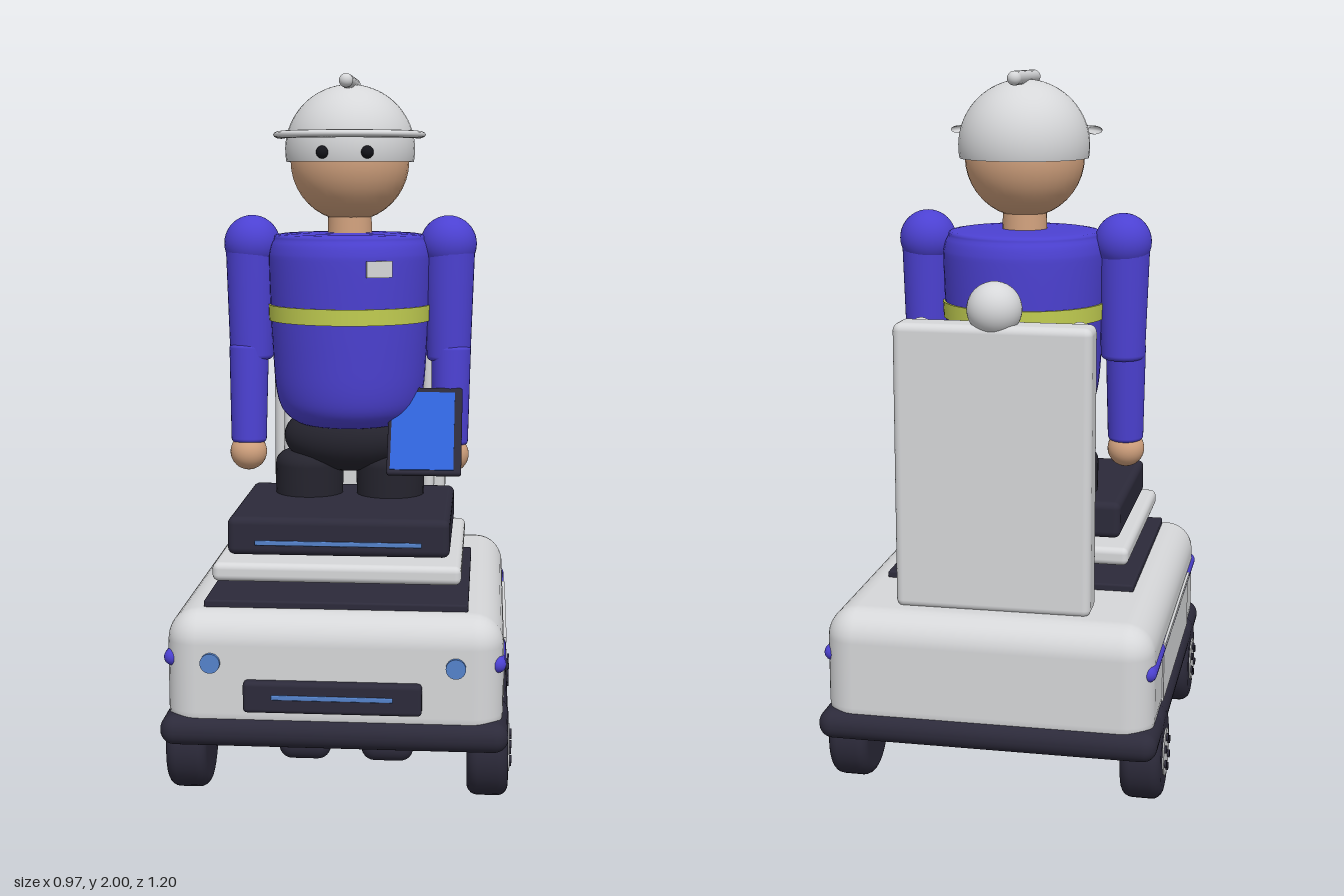
import * as THREE from 'three';
import { RoundedBoxGeometry } from 'three/addons/geometries/RoundedBoxGeometry.js';

const paint = (name, color, side = THREE.FrontSide) => {
  const m = new THREE.MeshStandardMaterial({ color, side });
  m.name = name;
  return m;
};

export function createModel() {
  const white = paint('light grey', 0xd6d7d9, THREE.DoubleSide);
  const dark = paint('dark slate', 0x2c2a3a);
  const violet = paint('violet blue', 0x4c41d2);
  const skin = paint('skin', 0xd2a27e);
  const lime = paint('lime yellow', 0xc4d052);
  const screenBlue = paint('screen blue', 0x2f62d8);
  const lampBlue = paint('lamp blue', 0x5583cc);
  const trousers = paint('trousers', 0x25242e);
  const black = paint('black', 0x14141a);

  const root = new THREE.Group();
  root.name = 'workerOnCart';

  const add = (parent, name, geo, mat, x = 0, y = 0, z = 0) => {
    const m = new THREE.Mesh(geo, mat);
    m.name = name;
    m.position.set(x, y, z);
    parent.add(m);
    return m;
  };
  const group = (name) => {
    const g = new THREE.Group();
    g.name = name;
    root.add(g);
    return g;
  };
  // Rounded box given by its limits on each axis
  const slab = (parent, name, mat, [x0, x1], [y0, y1], [z0, z1], r) =>
    add(parent, name, new RoundedBoxGeometry(x1 - x0, y1 - y0, z1 - z0, 4, r), mat,
      (x0 + x1) / 2, (y0 + y1) / 2, (z0 + z1) / 2);
  // Cylinder with rounded rims, centred on its axis
  const roundedCylinder = (rBottom, rTop, h, bevel) => {
    const pts = [new THREE.Vector2(0, -h / 2)];
    for (let i = 0; i <= 5; i++) {
      const a = (i / 5) * Math.PI / 2;
      pts.push(new THREE.Vector2(rBottom - bevel + bevel * Math.sin(a), -h / 2 + bevel - bevel * Math.cos(a)));
    }
    for (let i = 0; i <= 5; i++) {
      const a = (i / 5) * Math.PI / 2;
      pts.push(new THREE.Vector2(rTop - bevel + bevel * Math.cos(a), h / 2 - bevel + bevel * Math.sin(a)));
    }
    pts.push(new THREE.Vector2(0, h / 2));
    return new THREE.LatheGeometry(pts, 32);
  };
  const ball = (r) => new THREE.SphereGeometry(r, 32, 20);

  // Cart body
  const cart = group('cart');
  slab(cart, 'bumper', dark, [-0.472, 0.472], [0.185, 0.268], [-0.6, 0.592], 0.04);
  slab(cart, 'cartBody', white, [-0.457, 0.457], [0.195, 0.552], [-0.58, 0.572], 0.085);
  slab(cart, 'frontPanel', dark, [-0.24, 0.24], [0.29, 0.376], [0.55, 0.598], 0.012);
  slab(cart, 'frontPanelLight', lampBlue, [-0.163, 0.163], [0.329, 0.342], [0.594, 0.602], 0.003);
  for (const s of [-1, 1]) {
    const lamp = add(cart, 'frontLamp', new THREE.CylinderGeometry(0.027, 0.027, 0.02, 24), lampBlue, s * 0.33, 0.42, 0.573);
    lamp.rotation.x = Math.PI / 2;
    const rail = add(cart, 'sideRail', new THREE.CapsuleGeometry(0.023, 1.05, 8, 20), violet, s * 0.441, 0.421, 0);
    rail.rotation.x = Math.PI / 2;
    add(cart, 'sidePanel', new THREE.BoxGeometry(0.01, 0.145, 0.66), white, s * 0.456, 0.34, 0);
    add(cart, 'sideRailTrim', new THREE.BoxGeometry(0.008, 0.014, 0.66), white, s * 0.462, 0.433, 0);
  }

  // Wheels with a pale hub and bolts
  const tyre = roundedCylinder(0.132, 0.132, 0.114, 0.03);
  const hub = new THREE.CylinderGeometry(0.066, 0.066, 0.012, 32);
  const bolt = new THREE.CylinderGeometry(0.011, 0.011, 0.012, 12);
  for (const s of [-1, 1]) for (const z of [-0.375, 0.37]) {
    const wheel = group('wheel');
    wheel.position.set(s * 0.416, 0.137, z);
    wheel.rotation.z = -s * Math.PI / 2;
    add(wheel, 'tyre', tyre, dark);
    add(wheel, 'hub', hub, white, 0, 0.055, 0);
    for (let i = 0; i < 6; i++) {
      const a = i * Math.PI / 3;
      add(wheel, 'wheelBolt', bolt, dark, 0.043 * Math.cos(a), 0.061, 0.043 * Math.sin(a));
    }
  }

  // Stacked platform
  const platform = group('platform');
  slab(platform, 'deckMat', dark, [-0.36, 0.36], [0.548, 0.571], [-0.237, 0.487], 0.006);
  slab(platform, 'liftPlate', white, [-0.34, 0.34], [0.618, 0.67], [-0.215, 0.47], 0.018);
  slab(platform, 'standingBox', dark, [-0.307, 0.307], [0.678, 0.784], [-0.148, 0.405], 0.02);
  slab(platform, 'standingBoxLight', lampBlue, [-0.23, 0.23], [0.708, 0.721], [0.402, 0.411], 0.003);
  slab(platform, 'rearStep', white, [-0.25, 0.25], [0.602, 0.73], [-0.3, -0.237], 0.012);

  // Rear column with rods, display and beacon
  const column = group('rearColumn');
  slab(column, 'columnPanel', white, [-0.272, 0.272], [0.545, 1.342], [-0.477, -0.37], 0.022);
  slab(column, 'columnDisplay', violet, [-0.145, 0.145], [1.0, 1.25], [-0.372, -0.363], 0.003);
  for (const s of [-1, 1])
    add(column, 'columnRod', roundedCylinder(0.018, 0.018, 0.78, 0.01), white, s * 0.22, 0.95, -0.355);
  add(column, 'beacon', ball(0.075), white, 0, 1.38, -0.423);

  // Legs and feet
  const worker = group('worker');
  for (const s of [-1, 1]) {
    slab(worker, 'shoe', dark, [s * 0.122 - 0.077, s * 0.122 + 0.077], [0.005, 0.112], [-0.09, 0.172], 0.04);
    add(worker, 'lowerLeg', roundedCylinder(0.084, 0.09, 0.5, 0.035), trousers, s * 0.12, 0.365, -0.004);
    add(worker, 'upperLeg', roundedCylinder(0.095, 0.101, 0.38, 0.04), trousers, s * 0.12, 0.72, -0.004);
  }
  add(worker, 'hips', ball(1), trousers, 0, 0.955, -0.003).scale.set(0.195, 0.105, 0.13);

  // Jacket with reflective band and badge
  const jacket = [[0, 0.99], [0.12, 0.992], [0.165, 1.005], [0.2, 1.04], [0.217, 1.1], [0.225, 1.2],
    [0.231, 1.32], [0.236, 1.46], [0.234, 1.5], [0.222, 1.532], [0.195, 1.55], [0, 1.553]];
  const profile = new THREE.SplineCurve(jacket.map(([x, y]) => new THREE.Vector2(x, y)));
  const jacketPoints = profile.getPoints(44).map((p) => new THREE.Vector2(Math.max(p.x, 0), p.y));
  add(worker, 'jacket', new THREE.LatheGeometry(jacketPoints, 48), violet);
  add(worker, 'reflectiveBand', new THREE.CylinderGeometry(0.238, 0.236, 0.046, 48), lime, 0, 1.322, 0);
  const badge = add(worker, 'badge', new THREE.BoxGeometry(0.075, 0.046, 0.009), white, 0.1, 1.457, 0.22);
  badge.rotation.y = 0.4;

  // Arms
  for (const s of [-1, 1]) {
    add(worker, 'shoulder', ball(0.082), violet, s * 0.287, 1.52, -0.003);
    add(worker, 'upperArm', roundedCylinder(0.064, 0.074, 0.34, 0.015), violet, s * 0.29, 1.35, 0);
    const forearm = add(worker, 'forearm', roundedCylinder(0.052, 0.058, 0.29, 0.012), violet, s * 0.297, 1.08, 0.018);
    forearm.rotation.x = -0.06;
    add(worker, 'hand', ball(0.054), skin, s * 0.298, 0.908, 0.03);
  }

  // Tablet held in the left hand
  const tablet = group('tablet');
  tablet.position.set(0.227, 0.99, 0.138);
  tablet.rotation.x = -0.59;
  add(tablet, 'tabletCase', new RoundedBoxGeometry(0.212, 0.276, 0.02, 3, 0.008), dark);
  add(tablet, 'tabletScreen', new THREE.BoxGeometry(0.18, 0.245, 0.006), screenBlue, -0.006, -0.003, 0.01);

  // Head
  add(worker, 'neck', new THREE.CylinderGeometry(0.062, 0.066, 0.12, 28), skin, 0, 1.575, 0);
  add(worker, 'head', ball(0.172), skin, 0, 1.757, 0);
  for (const s of [-1, 1]) add(worker, 'eye', ball(0.018), black, s * 0.063, 1.781, 0.174);

  // Hard hat: shell, front brim and crest
  const hat = group('hardHat');
  const shell = new THREE.SphereGeometry(1, 40, 24, 0, Math.PI * 2, 0, Math.PI * 0.56);
  add(hat, 'hatShell', shell, white, 0, 1.79, -0.01).scale.set(0.188, 0.186, 0.197);
  const brim = add(hat, 'hatBrim', new THREE.TorusGeometry(0.198, 0.022, 12, 40, Math.PI), white, 0, 1.832, 0.012);
  brim.rotation.x = Math.PI / 2;
  brim.scale.z = 0.5;
  const crest = add(hat, 'hatCrest', new THREE.CapsuleGeometry(0.02, 0.285, 8, 20), white, 0, 1.98, -0.01);
  crest.rotation.x = Math.PI / 2;

  return root;
}
